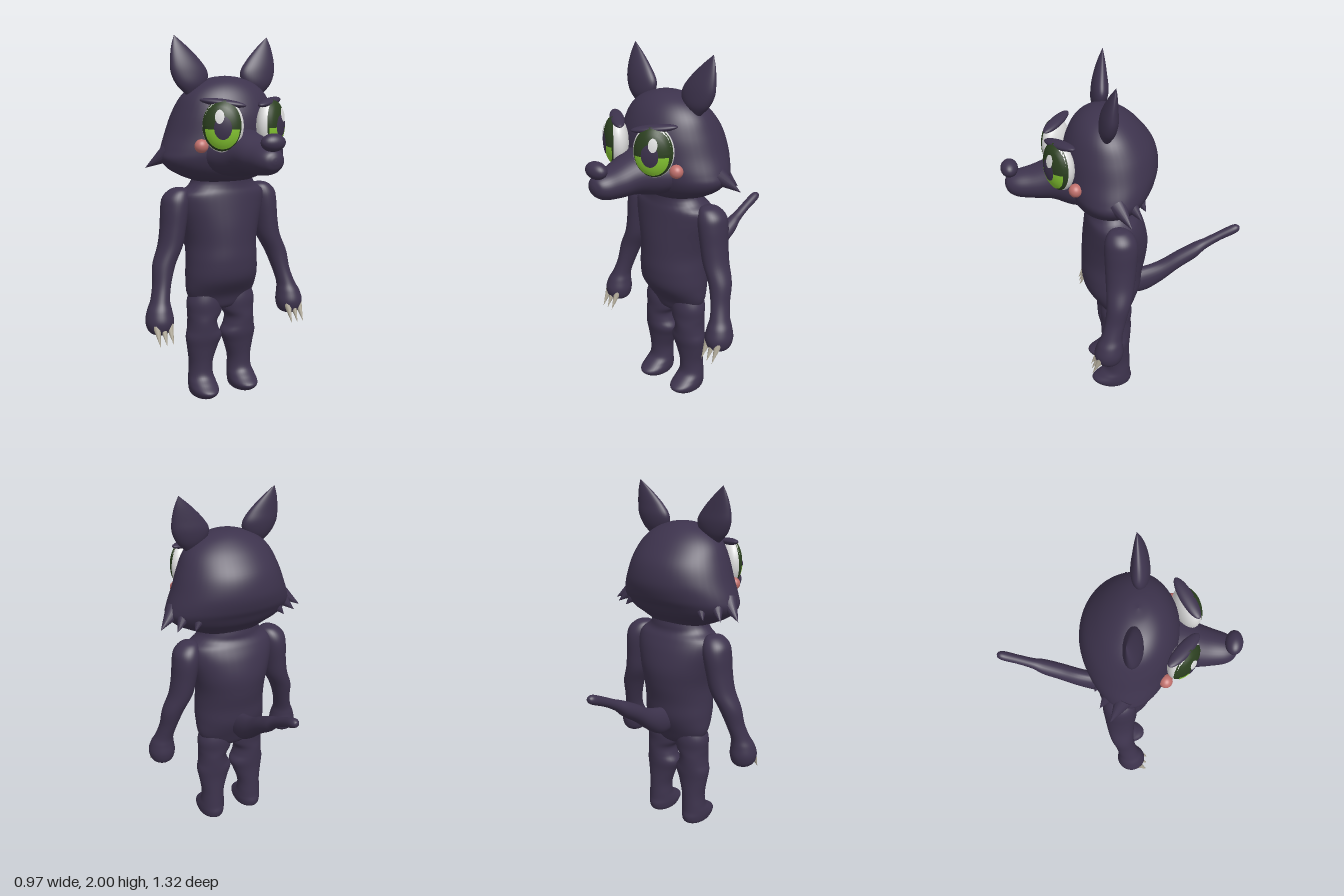
import * as THREE from 'three';

const paint = (name, hex) => {
  const m = new THREE.MeshStandardMaterial({ color: hex });
  m.name = name;
  return m;
};

// Smooth skin over elliptical sections along 'y' or 'z'.
// Section: [position on axis, centre x, other centre, radius x, other radius]
function loft(sections, axis = 'y', sides = 36, sub = 6) {
  const s = [...sections].sort((a, b) => a[0] - b[0]);
  const centre = new THREE.CatmullRomCurve3(s.map(q => new THREE.Vector3(q[0], q[1], q[2])), false, 'catmullrom', 0.5);
  const radius = new THREE.CatmullRomCurve3(s.map(q => new THREE.Vector3(q[3], q[4], 0)), false, 'catmullrom', 0.5);
  const n = (s.length - 1) * sub, pos = [], idx = [];
  for (let i = 0; i <= n; i++) {
    const c = centre.getPoint(i / n), r = radius.getPoint(i / n);
    for (let j = 0; j < sides; j++) {
      const a = j / sides * Math.PI * 2;
      const x = c.y + Math.cos(a) * Math.max(r.x, 0), o = Math.sin(a) * Math.max(r.y, 0);
      if (axis === 'y') pos.push(x, c.x, c.z + o);
      else pos.push(x, c.z - o, c.x);
      if (i < n) {
        const k = (j + 1) % sides, p = i * sides, u = p + sides;
        idx.push(p + j, u + j, p + k, p + k, u + j, u + k);
      }
    }
  }
  const g = new THREE.BufferGeometry();
  g.setAttribute('position', new THREE.Float32BufferAttribute(pos, 3));
  g.setIndex(idx);
  g.computeVertexNormals();
  return g;
}

const ball = (rx, ry, rz) => new THREE.SphereGeometry(1, 32, 20).scale(rx, ry, rz);

// Cone from a base point to a tip
function spike(base, tip, r) {
  const a = new THREE.Vector3(...base), d = new THREE.Vector3(...tip).sub(a), len = d.length();
  const q = new THREE.Quaternion().setFromUnitVectors(new THREE.Vector3(0, 1, 0), d.normalize());
  return new THREE.ConeGeometry(r, len, 16).translate(0, len / 2, 0).applyQuaternion(q).translate(...base);
}

function mirrored(geo) {
  const g = geo.clone().scale(-1, 1, 1), ix = g.index;
  for (let i = 0; i < ix.count; i += 3) {
    const t = ix.getX(i);
    ix.setX(i, ix.getX(i + 1));
    ix.setX(i + 1, t);
  }
  return g;
}

// Eye ball, and thin patches that follow its curve
const EYE = { a: 0.104, b: 0.132, c: 0.062 };
const placeEye = g => g.rotateY(0.56).translate(0.138, 1.55, 0.36);
function eyePatch(u, v, ru, rv, lift, start = 0, sweep = Math.PI * 2) {
  const g = new THREE.RingGeometry(0, 1, 36, 8, start, sweep), p = g.attributes.position;
  for (let i = 0; i < p.count; i++) {
    const x = u + p.getX(i) * ru, y = v + p.getY(i) * rv;
    const h = Math.max(0, 1 - (x / EYE.a) ** 2 - (y / EYE.b) ** 2);
    p.setXYZ(i, x, y, EYE.c * Math.sqrt(h) + lift);
  }
  g.computeVertexNormals();
  return placeEye(g);
}

export function createModel() {
  const group = new THREE.Group();
  const fur = paint('dark fur', 0x3d334d);
  const white = paint('eye white', 0xdedede);
  const darkGreen = paint('dark green iris', 0x2c4020);
  const green = paint('bright green iris', 0x86c832);
  const pink = paint('blush pink', 0xc0706c);
  const bone = paint('claw bone', 0xb4ad9c);

  const add = (name, geo, mat) => {
    const m = new THREE.Mesh(geo, mat);
    m.name = name;
    group.add(m);
  };
  const pair = (name, geo, mat) => {
    add(name + 'Left', geo, mat);
    add(name + 'Right', mirrored(geo), mat);
  };

  // Torso and neck
  add('torso', loft([
    [0.5, 0, 0.075, 0, 0], [0.525, 0, 0.075, 0.13, 0.07], [0.6, 0, 0.07, 0.2, 0.105],
    [0.7, 0, 0.083, 0.21, 0.16], [0.8, 0, 0.085, 0.206, 0.175], [0.9, 0, 0.073, 0.205, 0.183],
    [1.0, 0, 0.066, 0.225, 0.184], [1.1, 0, 0.07, 0.25, 0.168], [1.17, 0, 0.08, 0.25, 0.148],
    [1.21, 0, 0.088, 0.2, 0.132], [1.25, 0, 0.09, 0.175, 0.128], [1.33, 0, 0.1, 0.17, 0.12]]), fur);

  // Legs with feet
  pair('leg', loft([
    [0.66, 0.1, 0.075, 0.06, 0.07], [0.57, 0.102, 0.075, 0.1, 0.09], [0.5, 0.103, 0.077, 0.1, 0.088],
    [0.45, 0.117, 0.078, 0.084, 0.088], [0.4, 0.115, 0.078, 0.09, 0.086], [0.352, 0.108, 0.078, 0.106, 0.083],
    [0.29, 0.115, 0.074, 0.09, 0.074], [0.2, 0.123, 0.068, 0.069, 0.069], [0.13, 0.125, 0.07, 0.07, 0.073],
    [0.09, 0.126, 0.09, 0.076, 0.095], [0.055, 0.126, 0.109, 0.078, 0.12], [0.02, 0.126, 0.1, 0.068, 0.1],
    [0.004, 0.126, 0.095, 0.04, 0.06], [0, 0.126, 0.095, 0, 0]]), fur);

  // Arms with round hands
  pair('arm', loft([
    [1.212, 0.25, 0.075, 0, 0], [1.2, 0.252, 0.073, 0.045, 0.05], [1.16, 0.265, 0.068, 0.073, 0.08],
    [1.1, 0.275, 0.066, 0.075, 0.09], [1.0, 0.288, 0.07, 0.069, 0.085], [0.9, 0.308, 0.076, 0.067, 0.078],
    [0.8, 0.352, 0.09, 0.062, 0.066], [0.7, 0.376, 0.112, 0.05, 0.057], [0.62, 0.396, 0.135, 0.052, 0.058],
    [0.57, 0.406, 0.148, 0.066, 0.07], [0.51, 0.409, 0.155, 0.076, 0.08], [0.455, 0.409, 0.155, 0.057, 0.06],
    [0.43, 0.409, 0.152, 0, 0]]), fur);
  [-1, 0, 1].forEach(i => pair('claw' + (i + 2),
    spike([0.409 + i * 0.036, 0.5, 0.2], [0.409 + i * 0.038, 0.4, 0.254], 0.022), bone));

  // Tail
  add('tail', loft([
    [0, 0, 0.68, 0.05, 0.07], [-0.1, 0, 0.69, 0.05, 0.08], [-0.2, 0, 0.735, 0.05, 0.067],
    [-0.3, 0, 0.805, 0.048, 0.055], [-0.4, 0, 0.865, 0.044, 0.047], [-0.46, 0, 0.905, 0.031, 0.033],
    [-0.54, 0, 0.95, 0.027, 0.028], [-0.62, 0, 0.987, 0.027, 0.028], [-0.652, 0, 0.995, 0.017, 0.017],
    [-0.66, 0, 0.997, 0, 0]], 'z', 24), fur);

  // Head: wide cheeks, round skull
  add('head', loft([
    [1.23, 0, 0.1, 0.12, 0.09], [1.25, 0, 0.1, 0.185, 0.125], [1.28, 0, 0.11, 0.26, 0.16],
    [1.32, 0, 0.105, 0.325, 0.195], [1.37, 0, 0.1, 0.36, 0.22], [1.42, 0, 0.092, 0.35, 0.24],
    [1.5, 0, 0.085, 0.318, 0.25], [1.6, 0, 0.092, 0.282, 0.235], [1.69, 0, 0.107, 0.238, 0.185],
    [1.75, 0, 0.117, 0.17, 0.128], [1.785, 0, 0.12, 0.08, 0.065], [1.795, 0, 0.12, 0, 0]], 'y', 48), fur);

  // Snout and nose
  add('snout', loft([
    [0.18, 0, 1.4, 0.25, 0.12], [0.3, 0, 1.405, 0.19, 0.125], [0.4, 0, 1.41, 0.127, 0.105],
    [0.5, 0, 1.396, 0.1, 0.084], [0.58, 0, 1.392, 0.08, 0.069], [0.622, 0, 1.394, 0.055, 0.048],
    [0.638, 0, 1.396, 0.025, 0.022], [0.642, 0, 1.396, 0, 0]], 'z'), fur);
  add('nose', ball(0.065, 0.044, 0.045).translate(0, 1.483, 0.612), fur);

  // Leaf-shaped ears
  pair('ear', loft([
    [1.7, 0.2, 0.125, 0.03, 0.02], [1.75, 0.197, 0.12, 0.082, 0.042], [1.81, 0.203, 0.112, 0.103, 0.046],
    [1.87, 0.222, 0.106, 0.086, 0.037], [1.94, 0.251, 0.095, 0.046, 0.02], [2, 0.276, 0.084, 0, 0]]), fur);

  // Cheek fur tufts
  [[[0.32, 1.4, 0.09], [0.426, 1.32, 0.03]],
    [[0.28, 1.4, 0.03], [0.356, 1.32, -0.03]],
    [[0.21, 1.4, -0.02], [0.27, 1.32, -0.065]]]
    .forEach(([base, tip], i) => pair('cheekTuft' + (i + 1), spike(base, tip, 0.05), fur));

  // Eyes: white ball, iris, bright lower iris, pupil, highlight
  pair('eyeWhite', placeEye(ball(EYE.a, EYE.b, EYE.c)), white);
  pair('iris', eyePatch(0.004, 0.003, 0.098, 0.126, 0.003), darkGreen);
  pair('lowerIris', eyePatch(0, -0.012, 0.086, 0.1, 0.005, Math.PI, Math.PI), green);
  pair('pupil', eyePatch(-0.005, -0.005, 0.044, 0.058, 0.007), fur);
  pair('highlight', eyePatch(0.012, 0.05, 0.023, 0.034, 0.009), white);

  // Brows and blush
  pair('brow', ball(0.118, 0.02, 0.036).rotateZ(0.12).rotateY(0.6).translate(0.135, 1.664, 0.352), fur);
  pair('blush', ball(0.036, 0.035, 0.034).translate(0.222, 1.448, 0.288), pink);

  return group;
}
